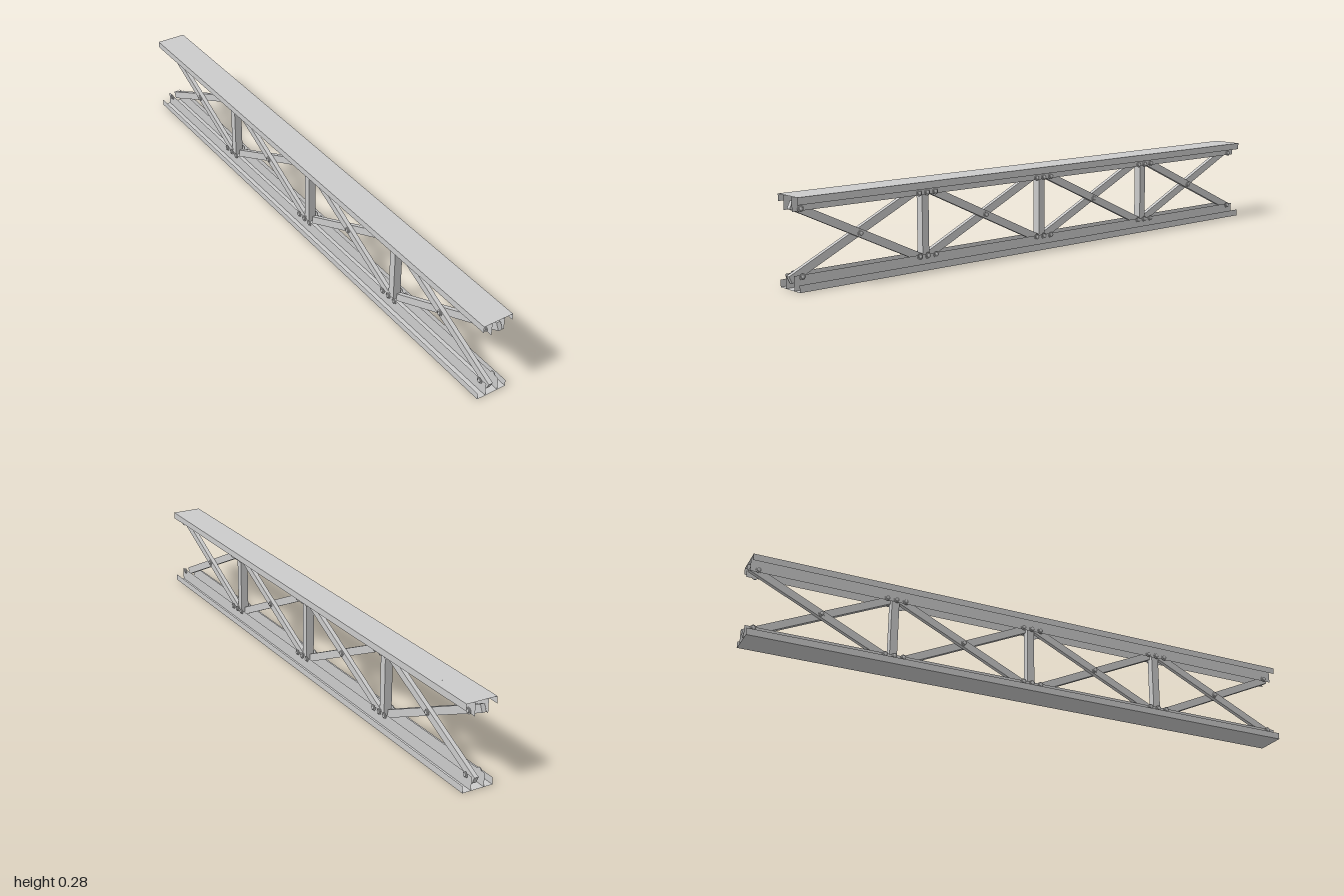
import * as THREE from 'three';

const LEN = 1.992, ZC = -0.004;       // chord length and centre
const HALF = 0.0535;                   // half width of the chords
const H = 0.285;                       // overall height
const BOLT_LOW = 0.041, BOLT_HIGH = 0.246;
const MID = (BOLT_LOW + BOLT_HIGH) / 2;

export function createModel() {
  const model = new THREE.Group();
  const solid = new THREE.MeshStandardMaterial({ color: 0xcccccc });
  const sheet = new THREE.MeshStandardMaterial({ color: 0xcccccc, side: THREE.DoubleSide });

  const add = (parent, name, geometry, material = solid) => {
    const mesh = new THREE.Mesh(geometry, material);
    mesh.name = name;
    parent.add(mesh);
    return mesh;
  };

  // Chords: thin sheet plate with two outer lips and two deeper inner flanges
  const chord = (name, plateY, dir) => {
    const group = new THREE.Group();
    group.name = name;
    add(group, 'chordPlate', new THREE.PlaneGeometry(HALF * 2, LEN).rotateX(-dir * -Math.PI / 2), sheet)
      .position.set(0, plateY, ZC);
    for (const s of [-1, 1]) {
      for (const [part, x, depth] of [['outerLip', HALF, 0.023], ['innerFlange', 0.023, 0.046]]) {
        add(group, part, new THREE.PlaneGeometry(LEN, depth).rotateY(s * Math.PI / 2), sheet)
          .position.set(s * x, plateY + dir * depth / 2, ZC);
      }
    }
    model.add(group);
  };
  chord('topChord', H, -1);
  chord('bottomChord', 0, 1);

  // Bolt: flat washer and a smaller rounded head, pointing along +x
  const boltProfile = [[0, 0], [0.0105, 0], [0.0105, 0.0025], [0.0065, 0.0025],
    [0.0062, 0.005], [0.004, 0.0065], [0, 0.007]].map(([r, y]) => new THREE.Vector2(r, y));
  const boltGeometry = new THREE.LatheGeometry(boltProfile, 12).toNonIndexed().rotateZ(-Math.PI / 2);
  boltGeometry.computeVertexNormals();
  const boltPair = (name, x, y, z) => {
    for (const s of [-1, 1]) {
      const bolt = add(model, name, boltGeometry);
      bolt.position.set(s * x, y, z);
      if (s < 0) bolt.rotation.y = Math.PI;
    }
  };

  // Posts between the bays
  const posts = [-0.5, 0, 0.5].map((z) => z + ZC);
  for (const z of posts) {
    add(model, 'post', new THREE.BoxGeometry(0.028, 0.23, 0.026)).position.set(0, MID, z);
    for (const y of [BOLT_LOW, BOLT_HIGH]) boltPair('postBolt', 0.024, y, z);
  }

  // Crossed braces: one each side of the centre plane in all four bays
  const reach = 0.218, rise = (BOLT_HIGH - BOLT_LOW) / 2;
  const angle = Math.atan2(rise, reach);
  const braceLength = 2 * Math.hypot(rise, reach) + 0.056;
  for (let bay = 0; bay < 4; bay++) {
    const z = -0.75 + bay * 0.5 + ZC;
    for (const s of [-1, 1]) {
      const brace = add(model, 'crossBrace', new THREE.BoxGeometry(0.0148, 0.026, braceLength));
      brace.position.set(s * 0.0074, MID, z);
      brace.rotation.x = -s * angle;
      for (const y of [BOLT_LOW, BOLT_HIGH]) boltPair('braceBolt', 0.024, y, z + s * reach);
    }
    boltPair('crossingBolt', 0.0148, MID, z);
  }
  return model;
}
